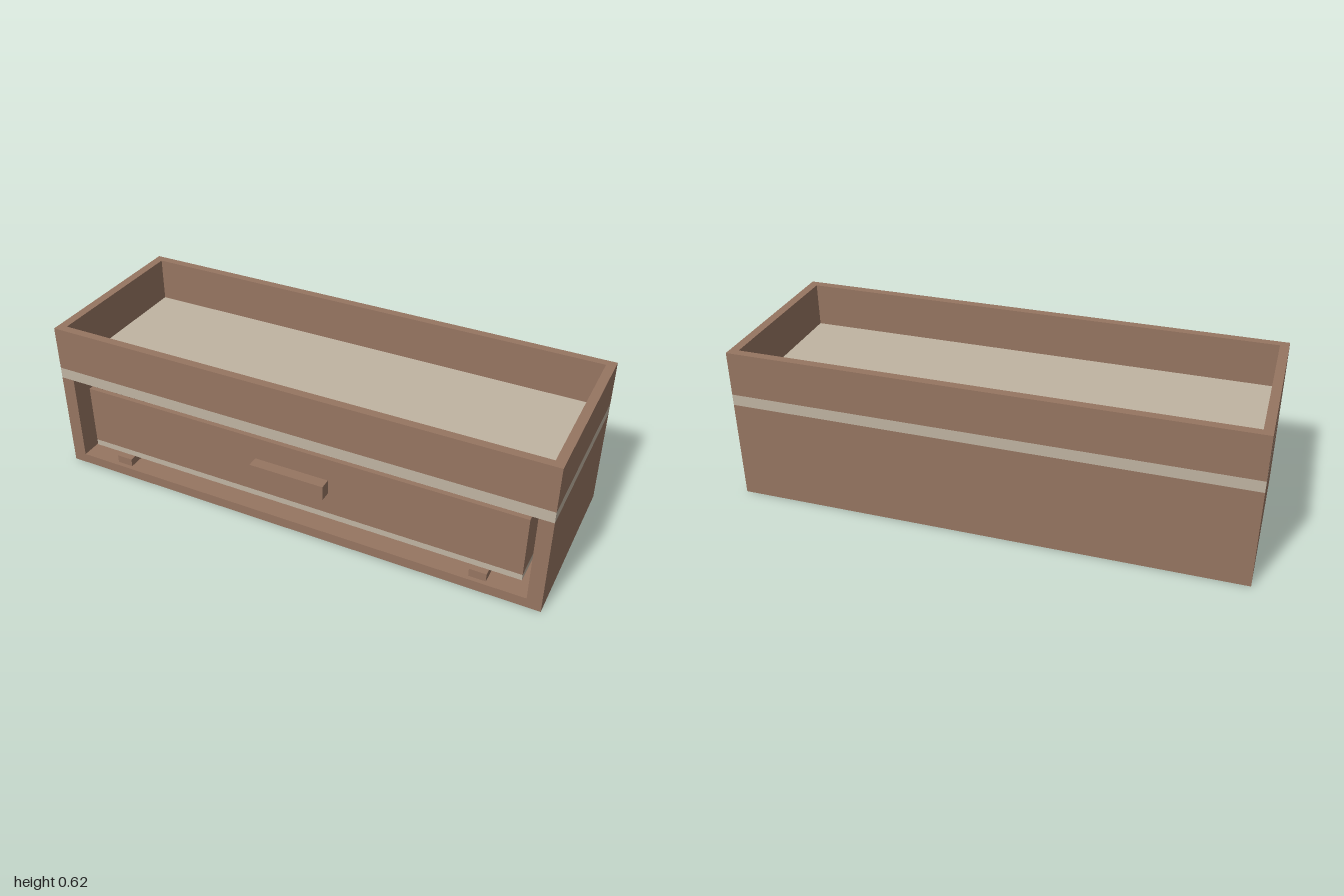
import * as THREE from 'three';

export function createModel() {
  const model = new THREE.Group();
  model.name = 'drawerPlanter';

  const wood = new THREE.MeshStandardMaterial({ color: 0x967561 });
  wood.name = 'brown wood';
  const panel = new THREE.MeshStandardMaterial({ color: 0xc0b4a2 });
  panel.name = 'pale panel';

  // Box given by its extents on each axis
  function box(parent, name, material, [x0, x1], [y0, y1], [z0, z1]) {
    const mesh = new THREE.Mesh(new THREE.BoxGeometry(x1 - x0, y1 - y0, z1 - z0), material);
    mesh.position.set((x0 + x1) / 2, (y0 + y1) / 2, (z0 + z1) / 2);
    mesh.name = name;
    parent.add(mesh);
    return mesh;
  }

  function group(name) {
    const g = new THREE.Group();
    g.name = name;
    model.add(g);
    return g;
  }

  function rect(Type, w, h) {
    const p = new Type();
    p.moveTo(-w, -h);
    p.lineTo(w, -h);
    p.lineTo(w, h);
    p.lineTo(-w, h);
    p.closePath();
    return p;
  }

  // Upright rectangular frame, made as one piece with a hole
  function frame(parent, name, outer, inner, y0, y1) {
    const shape = rect(THREE.Shape, ...outer);
    shape.holes.push(rect(THREE.Path, ...inner));
    const geometry = new THREE.ExtrudeGeometry(shape, { depth: y1 - y0, bevelEnabled: false });
    geometry.rotateX(-Math.PI / 2);
    const mesh = new THREE.Mesh(geometry, wood);
    mesh.position.y = y0;
    mesh.name = name;
    parent.add(mesh);
  }

  const W = 1, D = 0.356, H = 0.622;   // half width, half depth, height
  const slabY = 0.4, trayY = 0.445;    // underside and top of the middle panel

  // Open tray on top, with the pale panel as its floor
  const tray = group('tray');
  frame(tray, 'trayWalls', [W, D], [0.965, 0.323], trayY, H);
  box(tray, 'middlePanel', panel, [-W, W], [slabY, trayY], [-D, D]);

  // Lower case, open at the front
  const lower = group('lowerCase');
  const inX = 0.945, floorY = 0.04, backZ = -0.323;
  const profile = new THREE.Shape();
  [[-W, 0], [W, 0], [W, slabY], [inX, slabY], [inX, floorY],
    [-inX, floorY], [-inX, slabY], [-W, slabY]]
    .forEach(([x, y], i) => (i ? profile.lineTo(x, y) : profile.moveTo(x, y)));
  profile.closePath();
  const caseGeometry = new THREE.ExtrudeGeometry(profile, { depth: D * 2, bevelEnabled: false });
  const shell = new THREE.Mesh(caseGeometry, wood);
  shell.position.z = -D;
  shell.name = 'caseShell';
  lower.add(shell);
  box(lower, 'caseBack', wood, [-inX, inX], [floorY, slabY], [-D, backZ]);

  // Runners under the drawer
  for (const side of [-1, 1]) {
    box(lower, side > 0 ? 'leftRunner' : 'rightRunner', wood,
      [side * 0.757 - 0.033, side * 0.757 + 0.033], [floorY, 0.073], [backZ, 0.338]);
  }

  // Drawer: pale bottom, four walls and a bar handle
  const drawer = group('drawer');
  const frontZ = 0.311, rearZ = -0.29, wall = 0.02, half = (frontZ - rearZ) / 2;
  box(drawer, 'drawerBottom', panel, [-0.91, 0.91], [0.073, 0.098], [rearZ, frontZ]);
  const walls = new THREE.Group();
  walls.name = 'drawerWalls';
  walls.position.z = (frontZ + rearZ) / 2;
  drawer.add(walls);
  frame(walls, 'drawerFrame', [0.91, half], [0.91 - wall, half - wall], 0.098, 0.346);
  box(drawer, 'drawerHandle', wood, [-0.153, 0.153], [0.191, 0.251], [frontZ, D]);

  return model;
}
